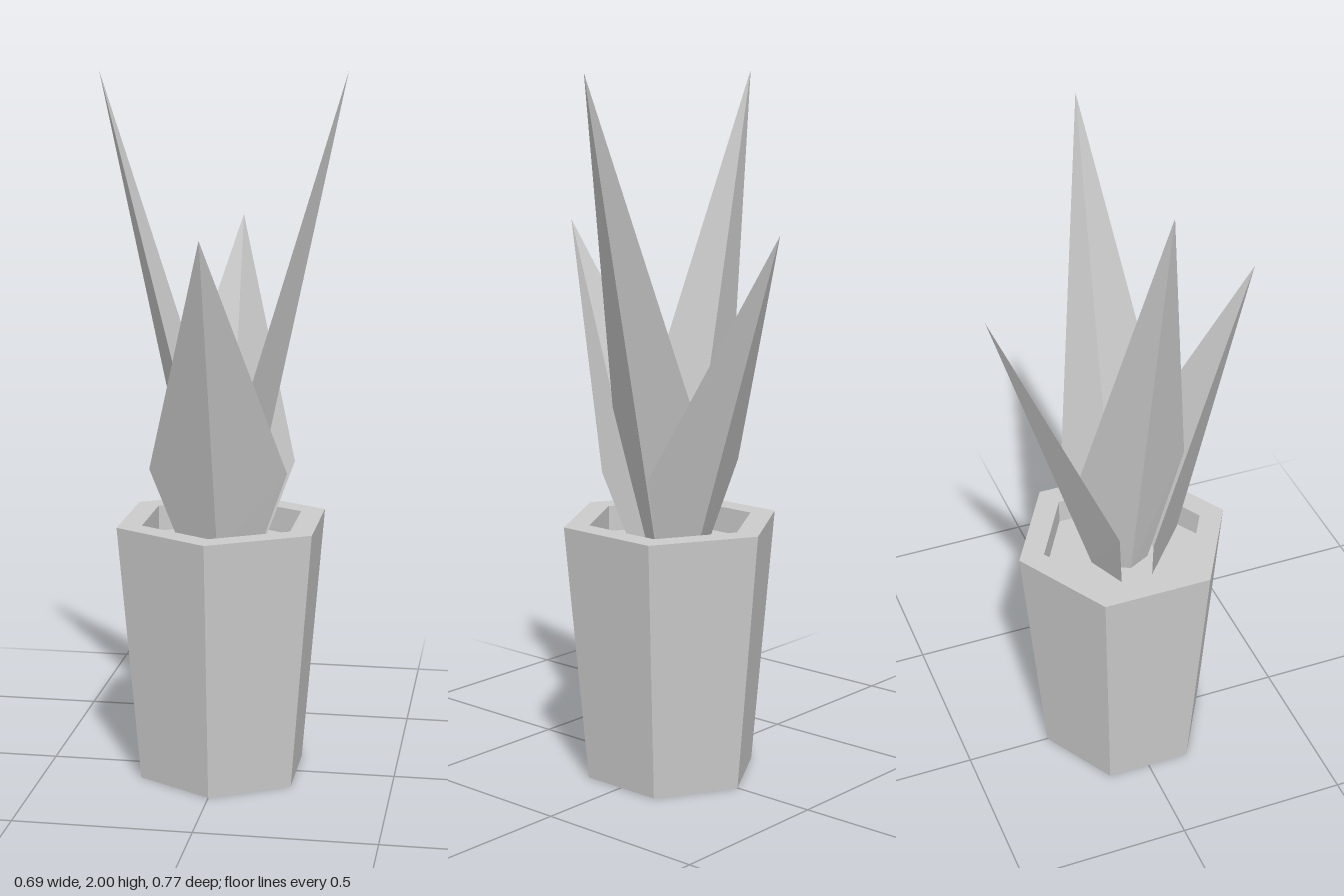
import * as THREE from 'three';

const SOIL = 0.67; // height of the soil surface

const clay = new THREE.MeshStandardMaterial({ color: 0xcccccc, flatShading: true, side: THREE.DoubleSide });
clay.name = 'plain grey';

// A keeled leaf pointing to +z: two flat halves folded along a straight midrib.
// Each point is [half width, height, distance from the centre].
function leaf(name, { rib, foot, wide, tip }, turn) {
  const p = [
    [0, ...rib], [0, ...tip],
    foot, wide,
    [-foot[0], foot[1], foot[2]], [-wide[0], wide[1], wide[2]],
  ];
  const faces = [[0, 2, 3], [0, 3, 1], [0, 5, 4], [0, 1, 5]];
  const geo = new THREE.BufferGeometry();
  geo.setAttribute('position', new THREE.Float32BufferAttribute(faces.flat().flatMap(i => p[i]), 3));
  geo.computeVertexNormals();
  const mesh = new THREE.Mesh(geo, clay);
  mesh.name = name;
  mesh.rotation.y = turn;
  return mesh;
}

export function createModel() {
  const model = new THREE.Group();
  model.name = 'pottedPlant';

  // Hexagonal tapered pot with a thick rim and a hollow down to the soil
  const profile = [[0, 0], [0.25, 0], [0.317, 0.745], [0.242, 0.745], [0.242, SOIL]]
    .map(([r, y]) => new THREE.Vector2(r, y));
  const pot = new THREE.Mesh(new THREE.LatheGeometry(profile, 6), clay);
  pot.name = 'pot';
  model.add(pot);

  // Soil disc with the same six sides
  const soil = new THREE.Mesh(new THREE.CircleGeometry(0.242, 6, Math.PI / 2), clay);
  soil.name = 'soil';
  soil.rotation.x = -Math.PI / 2;
  soil.position.y = SOIL;
  model.add(soil);

  // Short broad leaves at front and back, tall narrow leaves at the sides
  const broad = { rib: [SOIL, 0.097], foot: [0.113, SOIL, 0.047], wide: [0.195, 0.9, 0.085], tip: [1.575, 0.383] };
  const tall = { rib: [SOIL, 0.065], foot: [0.065, SOIL, 0.032], wide: [0.155, 1.06, 0.075], tip: [2, 0.345] };
  model.add(
    leaf('frontLeaf', broad, 0),
    leaf('backLeaf', broad, Math.PI),
    leaf('leftLeaf', tall, Math.PI / 2),
    leaf('rightLeaf', tall, -Math.PI / 2),
  );
  return model;
}
